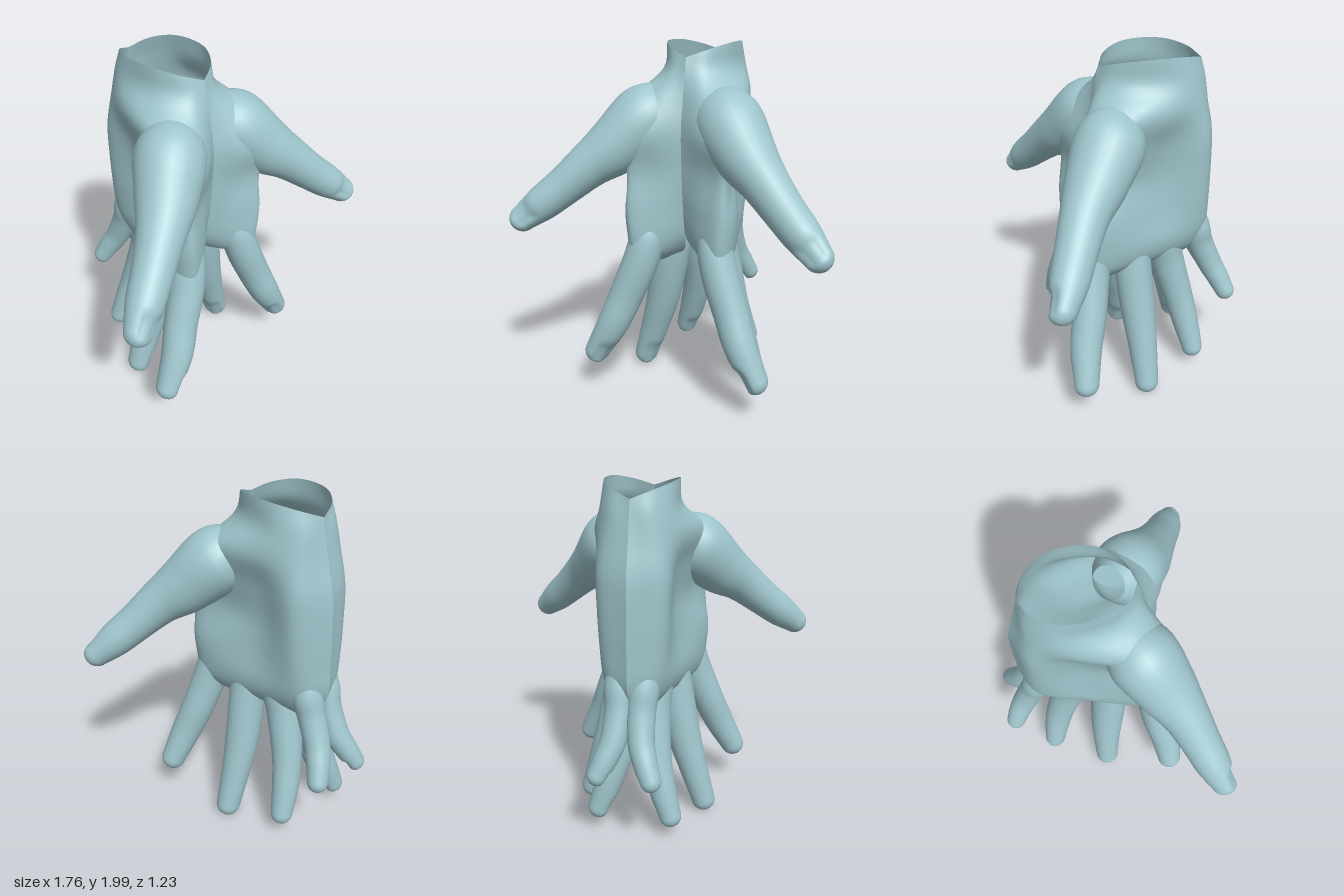
import * as THREE from 'three';

const V = (x, y, z) => new THREE.Vector3(x, y, z);
const spline = (pts) => new THREE.CatmullRomCurve3(pts, false, 'catmullrom', 0.5);

const skin = new THREE.MeshStandardMaterial({ color: 0x9fc5cc, side: THREE.DoubleSide });

// Skin over a grid of rows; the half model stops at the x = 0 seam, side = -1 mirrors it
function surface(rows, closed, side) {
  const n = rows[0].length;
  const pos = [], index = [];
  rows.flat().forEach((p) => pos.push(side * Math.max(p.x, 0), p.y, p.z));
  const tri = (a, b, c) => {
    if ([a, b, c].every((i) => pos[i * 3] === 0)) return; // nothing inside the seam
    index.push(a, ...(side > 0 ? [b, c] : [c, b]));
  };
  for (let i = 0; i < rows.length - 1; i++) {
    for (let j = 0; j < (closed ? n : n - 1); j++) {
      const k = (j + 1) % n;
      const a = i * n + j, b = i * n + k;
      tri(a, b, a + n);
      tri(b, b + n, a + n);
    }
  }
  const geo = new THREE.BufferGeometry();
  geo.setAttribute('position', new THREE.Float32BufferAttribute(pos, 3));
  geo.setIndex(index);
  geo.computeVertexNormals();
  return geo;
}

// Palm: [height, then (x, z) from the front seam round the outside to the back seam]
const PALM = [
  [0.80, [0.1, 0.05], [0.16, 0.18], [0.22, 0.27], [0.23, 0.22], [0.15, -0.06], [0.08, -0.3], [0.03, -0.35]],
  [0.87, [0.03, 0.13], [0.13, 0.28], [0.24, 0.345], [0.28, 0.24], [0.2, -0.08], [0.12, -0.34], [0, -0.42]],
  [0.98, [0, 0.2], [0.12, 0.31], [0.25, 0.365], [0.3, 0.24], [0.22, -0.1], [0.15, -0.37], [0, -0.465]],
  [1.15, [0, 0.23], [0.14, 0.32], [0.27, 0.36], [0.3, 0.22], [0.2, -0.1], [0.17, -0.37], [0, -0.47]],
  [1.35, [0, 0.245], [0.15, 0.31], [0.28, 0.33], [0.23, 0.1], [0.18, -0.13], [0.18, -0.37], [0, -0.47]],
  [1.55, [0, 0.25], [0.15, 0.34], [0.29, 0.36], [0.27, 0.1], [0.2, -0.15], [0.18, -0.37], [0, -0.46]],
  [1.72, [0, 0.22], [0.13, 0.265], [0.26, 0.24], [0.3, 0.08], [0.24, -0.18], [0.15, -0.36], [0, -0.42]],
  [1.86, [0, 0.19], [0.1, 0.16], [0.18, 0.05], [0.205, -0.1], [0.19, -0.25], [0.11, -0.36], [0, -0.39]],
  [2.00, [0, 0.17], [0.1, 0.12], [0.17, 0.02], [0.19, -0.1], [0.17, -0.23], [0.1, -0.33], [0, -0.38]],
];

function palm(side) {
  const rings = PALM.map(([y, ...pts]) => {
    // the wrist rim dips towards the seam
    const ring = pts.map(([x, z]) => V(x, y === 2 ? 1.93 + 0.07 * x / 0.19 : y, z));
    return spline(ring).getPoints(36);
  });
  const columns = rings[0].map((_, j) => spline(rings.map((r) => r[j])).getPoints(40));
  const rows = columns[0].map((_, i) => columns.map((c) => c[i]));
  // close the underside between the fingers
  rows.unshift(rows[0].map(() => V(0.11, 0.79, 0)));
  return surface(rows, false, side);
}

// Fingers: sections [x, y, z, radius] from root to tip, and the direction the nail faces
const BACK = V(-0.85, 0, 0.5);
const FINGERS = {
  thumb: { nail: V(0.1, 0.25, 1), path: [[0.12, 1.72, 0.06, 0.09], [0.22, 1.62, 0.16, 0.18],
    [0.36, 1.47, 0.275, 0.16], [0.48, 1.37, 0.36, 0.125], [0.6, 1.26, 0.43, 0.106],
    [0.71, 1.165, 0.49, 0.096], [0.805, 1.085, 0.545, 0.073]] },
  indexFinger: { nail: BACK, path: [[0.19, 1.06, 0.25, 0.07], [0.2, 0.95, 0.27, 0.095],
    [0.24, 0.8, 0.295, 0.1], [0.31, 0.62, 0.325, 0.096], [0.38, 0.45, 0.365, 0.09], [0.475, 0.27, 0.39, 0.072]] },
  middleFinger: { nail: BACK, path: [[0.15, 1.06, 0.04, 0.07], [0.14, 0.92, 0.035, 0.1],
    [0.165, 0.75, 0.03, 0.106], [0.22, 0.5, 0.015, 0.099], [0.28, 0.3, 0.005, 0.085], [0.35, 0.08, 0, 0.071]] },
  ringFinger: { nail: BACK, path: [[0.1, 1.06, -0.13, 0.07], [0.09, 0.92, -0.16, 0.095],
    [0.08, 0.75, -0.2, 0.098], [0.11, 0.5, -0.265, 0.088], [0.155, 0.32, -0.305, 0.079], [0.21, 0.155, -0.335, 0.064]] },
  littleFinger: { nail: BACK, path: [[0.07, 1.08, -0.34, 0.06], [0.065, 0.95, -0.37, 0.085],
    [0.06, 0.83, -0.405, 0.08], [0.075, 0.68, -0.47, 0.073], [0.11, 0.58, -0.52, 0.066], [0.145, 0.5, -0.555, 0.058]] },
};

function finger({ path, nail }, side) {
  const SEG = 28, STEPS = 36, CAP = 9;
  const axis = spline(path.map(([x, y, z]) => V(x, y, z)));
  const size = spline(path.map((p) => V(p[3], 0, 0)));
  const rows = [];
  const ring = (center, radius, tangent, dent) => {
    const u = nail.clone().addScaledVector(tangent, -nail.dot(tangent)).normalize();
    const v = tangent.clone().cross(u);
    const row = [];
    for (let j = 0; j < SEG; j++) {
      const a = (j / SEG) * Math.PI * 2;
      // the nail is a shallow flat bed on the back of the tip
      const r = radius * (1 - dent * THREE.MathUtils.smoothstep(Math.cos(a), 0.55, 0.85));
      row.push(center.clone().addScaledVector(u, r * Math.cos(a)).addScaledVector(v, r * Math.sin(a)));
    }
    rows.push(row);
  };
  for (let i = 0; i <= STEPS; i++) {
    const t = i / STEPS;
    ring(axis.getPoint(t), size.getPoint(t).x, axis.getTangent(t), 0.22 * THREE.MathUtils.smoothstep(t, 0.88, 0.94));
  }
  // rounded fingertip
  const end = axis.getPoint(1), dir = axis.getTangent(1), r = size.getPoint(1).x;
  for (let i = 1; i <= CAP; i++) {
    const a = (i / CAP) * Math.PI / 2;
    ring(end.clone().addScaledVector(dir, r * Math.sin(a)), r * Math.cos(a), dir,
      0.22 * (1 - THREE.MathUtils.smoothstep(i / CAP, 0.1, 0.6)));
  }
  return surface(rows, true, side);
}

export function createModel() {
  const model = new THREE.Group();
  model.name = 'pairedHands';
  for (const side of [1, -1]) {
    const hand = new THREE.Group();
    hand.name = side > 0 ? 'leftHand' : 'rightHand';
    const add = (name, geo) => {
      const mesh = new THREE.Mesh(geo, skin);
      mesh.name = name;
      hand.add(mesh);
    };
    add('palmAndWrist', palm(side));
    for (const [name, spec] of Object.entries(FINGERS)) add(name, finger(spec, side));
    model.add(hand);
  }
  return model;
}
